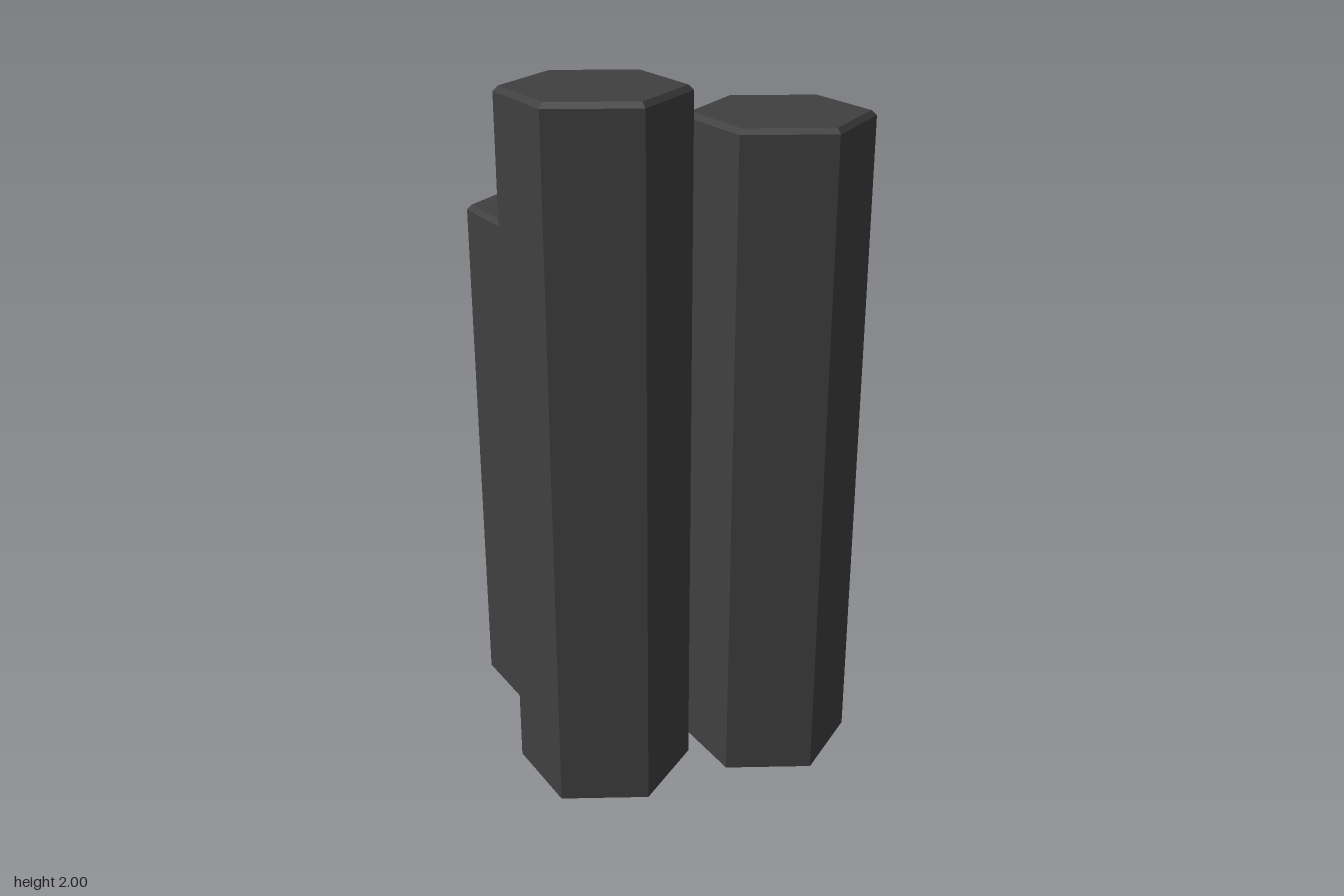
import * as THREE from 'three';

const RADIUS = 0.25;
const BEVEL = 0.014;

// Hexagonal column: open underneath, bevelled rim, flat cap
function makeColumn(name, x, z, height, material) {
  const column = new THREE.Group();
  column.name = name;
  const wallHeight = height - BEVEL;

  const add = (part, geometry, y) => {
    const mesh = new THREE.Mesh(geometry, material);
    mesh.name = part;
    mesh.position.y = y;
    column.add(mesh);
  };

  // Unshared corners with face normals keep every side flat
  const faceted = (top, bottom, h) => {
    const geometry = new THREE.CylinderGeometry(top, bottom, h, 6, 1, true).toNonIndexed();
    geometry.computeVertexNormals();
    return geometry;
  };

  add('shaft', faceted(RADIUS, RADIUS, wallHeight), wallHeight / 2);
  add('bevel', faceted(RADIUS - BEVEL, RADIUS, BEVEL), height - BEVEL / 2);
  // Start the cap on a corner so that it lines up with the shaft
  add('cap', new THREE.CircleGeometry(RADIUS - BEVEL, 6, Math.PI / 2).rotateX(-Math.PI / 2), height);

  column.position.set(x, 0, z);
  column.rotation.y = Math.PI / 12;
  return column;
}

export function createModel() {
  const model = new THREE.Group();
  model.name = 'hexagonalColumns';
  const stone = new THREE.MeshStandardMaterial({ color: 0x404040, side: THREE.DoubleSide });
  stone.name = 'darkStone';

  // Two by two cluster with stepped heights
  const columns = [
    ['frontRightColumn', -0.25, 0.25, 2],
    ['frontLeftColumn', 0.25, 0.25, 1.906],
    ['backRightColumn', -0.25, -0.25, 1.565],
    ['backLeftColumn', 0.25, -0.25, 1.284],
  ];
  for (const [name, x, z, height] of columns) {
    model.add(makeColumn(name, x, z, height, stone));
  }
  return model;
}
